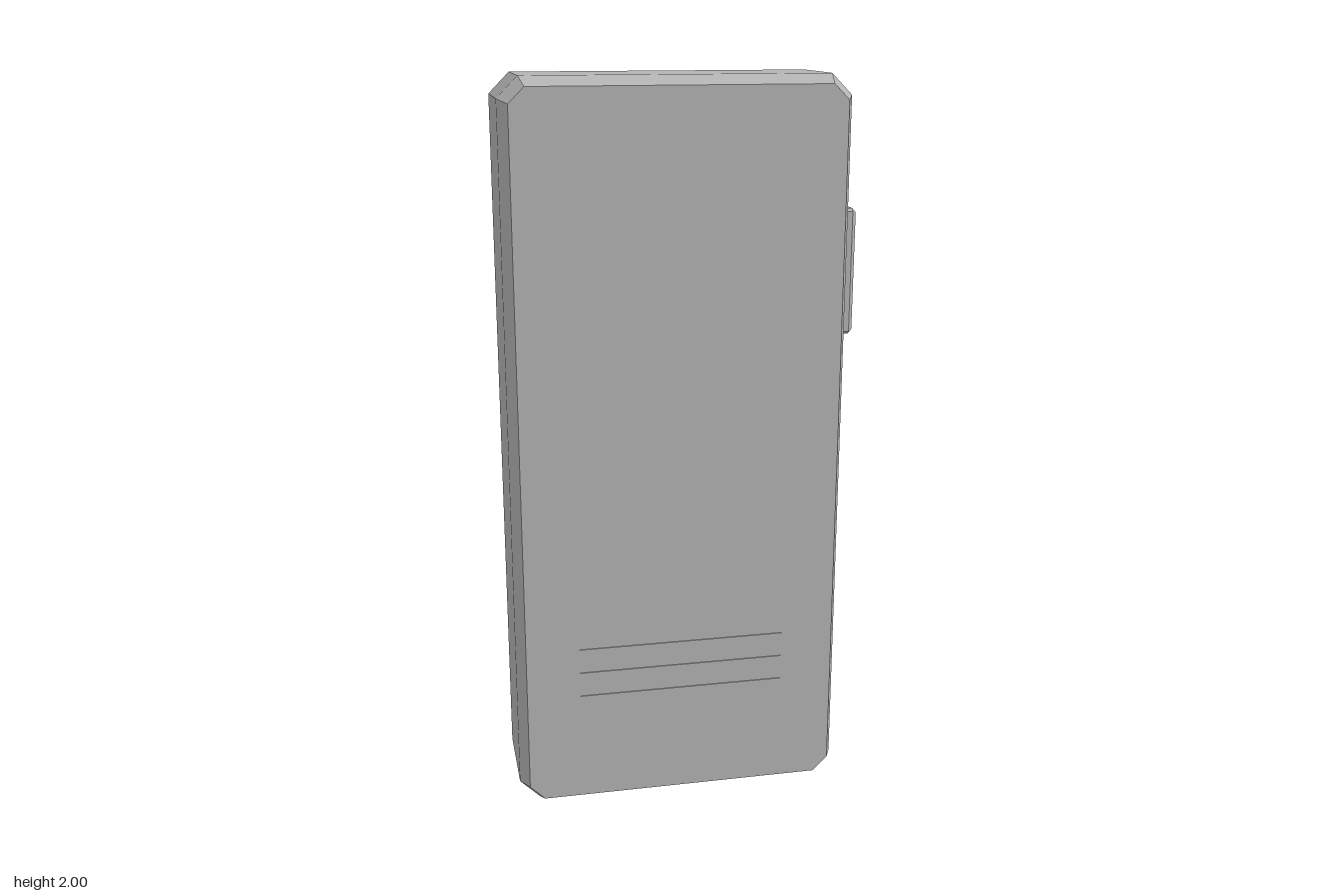
import * as THREE from 'three';

const CX = -0.022; // centre line of the case
const PANEL_Z = -0.19; // outer face of the back panel

// Rectangle with cut corners, extruded along z with one bevel step on both faces
function bevelPlate(w, h, depth, cut, bevelSize, bevelThickness) {
  const x = w / 2, y = h / 2;
  const shape = new THREE.Shape([
    [x, -y + cut], [x, y - cut], [x - cut, y], [-x + cut, y],
    [-x, y - cut], [-x, -y + cut], [-x + cut, -y], [x - cut, -y],
  ].map(([a, b]) => new THREE.Vector2(a, b)));
  const geo = new THREE.ExtrudeGeometry(shape, {
    depth: depth - 2 * bevelThickness, bevelEnabled: true, bevelSegments: 1,
    bevelSize, bevelThickness, bevelOffset: -bevelSize,
  });
  return geo.translate(0, 0, bevelThickness - depth / 2);
}

// Faceted knob standing on the back panel, with a chamfered rim, facing -z
function knob(radius, topRadius, wall, height, sides) {
  const profile = [[radius, 0], [radius, wall], [topRadius, height], [0, height]]
    .map(([r, y]) => new THREE.Vector2(r, y));
  const geo = new THREE.LatheGeometry(profile, sides).toNonIndexed();
  geo.computeVertexNormals();
  return geo.rotateX(-Math.PI / 2);
}

export function createModel() {
  const model = new THREE.Group();
  const grey = new THREE.MeshStandardMaterial({ color: 0xb3b3b3 });
  grey.name = 'casing grey';

  const add = (name, geometry, x, y, z) => {
    const mesh = new THREE.Mesh(geometry, grey);
    mesh.name = name;
    mesh.position.set(x, y, z);
    model.add(mesh);
    return mesh;
  };

  // Main case and raised back panel
  add('case', bevelPlate(0.915, 2, 0.36, 0.055, 0.024, 0.056), CX, 1, 0.045);
  add('backPanel', bevelPlate(0.8, 1.86, 0.06, 0.014, 0.006, 0.006), CX, 1.003, -0.16);

  // Screen and large speaker disc
  add('screen', bevelPlate(0.7, 0.33, 0.02, 0.005, 0.005, 0.005), CX, 1.645, -0.193);
  add('speakerDisc', knob(0.255, 0.23, 0.012, 0.035, 12), CX, 1.118, PANEL_Z);

  // Two rows of three buttons
  const buttonGeo = knob(0.052, 0.04, 0.013, 0.026, 8);
  for (const y of [0.46, 0.66]) {
    for (const dx of [-0.262, 0, 0.262]) add('keyButton', buttonGeo, CX + dx, y, PANEL_Z);
  }

  // Slotted corner screws: a washer with two half-round heads
  const washerGeo = knob(0.024, 0.024, 0.003, 0.004, 12);
  const half = new THREE.Shape();
  half.absarc(0, 0, 0.024, 0.2, Math.PI - 0.2, false);
  const headGeo = new THREE.ExtrudeGeometry(half, { depth: 0.012, bevelEnabled: false, curveSegments: 6 });
  for (const x of [-0.395, 0.35]) {
    for (const y of [0.16, 1.868]) {
      add('screwWasher', washerGeo, x, y, PANEL_Z);
      add('screwHead', headGeo, x, y, PANEL_Z - 0.012);
      add('screwHead', headGeo, x, y, PANEL_Z - 0.012).rotation.z = Math.PI;
    }
  }

  // Push button on the left side
  const sideGeo = bevelPlate(0.172, 0.344, 0.06, 0.008, 0.012, 0.012).rotateY(Math.PI / 2);
  add('sideButton', sideGeo, 0.447, 1.475, 0.037);

  // Three thin ribs low on the front
  const ribGeo = new THREE.BoxGeometry(0.573, 0.008, 0.006);
  for (const y of [0.33, 0.4, 0.47]) add('frontRib', ribGeo, CX, y, 0.225);

  return model;
}
